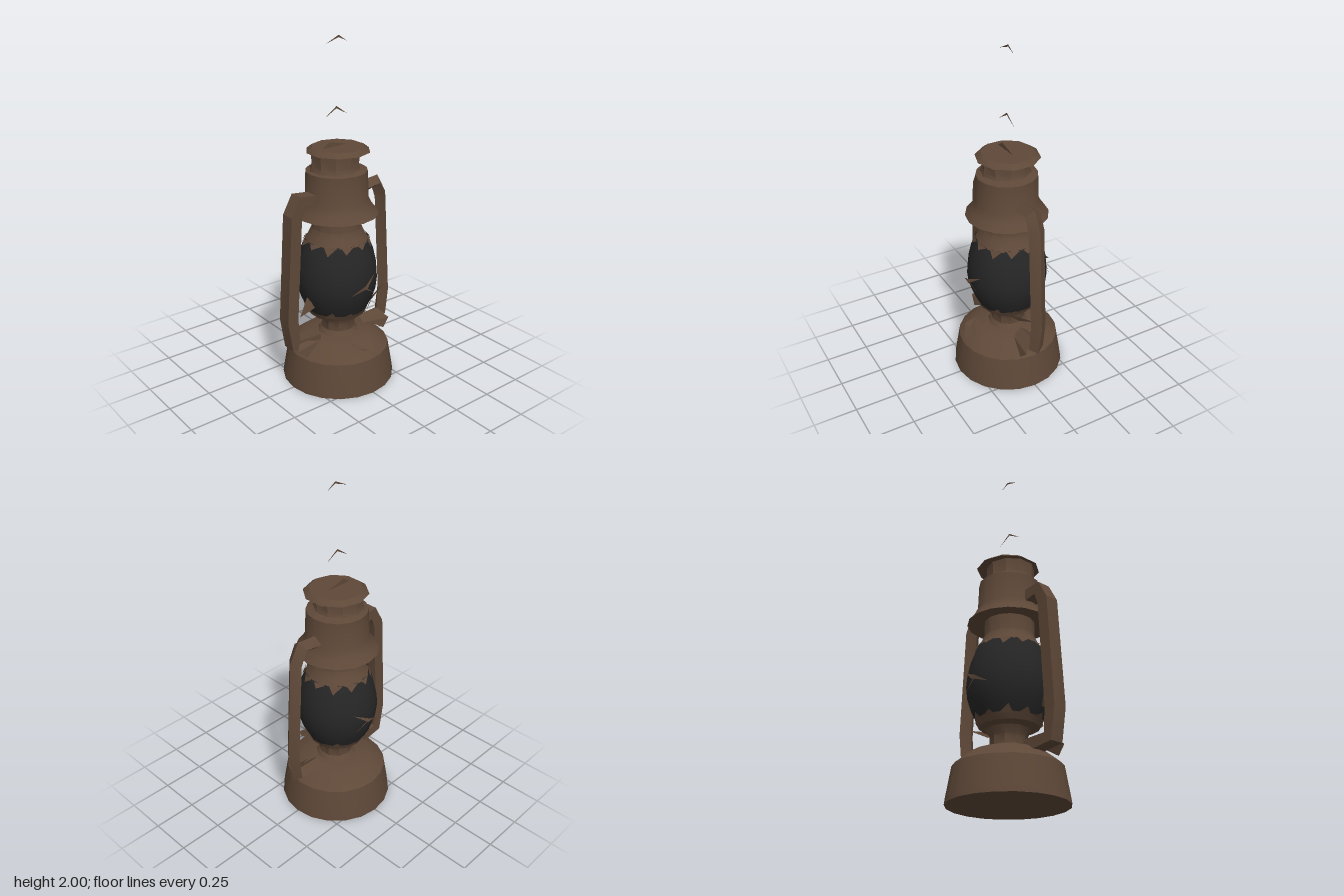
import * as THREE from 'three';
import { toCreasedNormals } from 'three/addons/utils/BufferGeometryUtils.js';

const V = (x, y, z) => new THREE.Vector3(x, y, z);

export function createModel() {
  const group = new THREE.Group();
  const rust = new THREE.MeshStandardMaterial({ color: 0x5e4838, side: THREE.DoubleSide });
  rust.name = 'rustyBrown';
  const soot = new THREE.MeshStandardMaterial({ color: 0x262626, side: THREE.DoubleSide });
  soot.name = 'sootBlack';

  const add = (name, geometry, material = rust) => {
    const mesh = new THREE.Mesh(geometry, material);
    mesh.name = name;
    group.add(mesh);
    return mesh;
  };
  const lathe = (name, points, sides, material, crease = 0.6) => {
    const g = new THREE.LatheGeometry(points.map(p => new THREE.Vector2(...p)), sides);
    return add(name, toCreasedNormals(g, crease), material);
  };
  // Fan of triangles through a few corners, for torn sheet and wire
  const scrap = (name, corners) => {
    const flat = [];
    for (let i = 1; i < corners.length - 1; i++) flat.push(...corners[0], ...corners[i], ...corners[i + 1]);
    const g = new THREE.BufferGeometry();
    g.setAttribute('position', new THREE.Float32BufferAttribute(flat, 3));
    g.computeVertexNormals();
    return add(name, g);
  };

  // Fuel tank and burner
  lathe('fuelTank', [[0, 0], [0.33, 0], [0.326, 0.03], [0.297, 0.2], [0.2, 0.275], [0.1, 0.285], [0, 0.285]], 20);
  lathe('burnerNeck', [[0.13, 0.27], [0.1, 0.31], [0.1, 0.36], [0.125, 0.405]], 10);
  lathe('globeSeat', [[0, 0.4], [0.13, 0.405], [0.165, 0.415], [0.185, 0.45]], 14).position.x = -0.01;

  // Sooty globe
  lathe('globe', [[0.172, 0.435], [0.205, 0.5], [0.228, 0.57], [0.236, 0.64], [0.23, 0.71],
    [0.212, 0.79], [0.18, 0.87]], 18, soot, 1.2).position.x = -0.01;

  // Ragged rust teeth along the globe edges
  for (let i = 0; i < 12; i++) {
    const a = i / 12 * Math.PI * 2 + 0.2;
    const at = (r, y, da) => [r * Math.sin(a + da) - 0.01, y, r * Math.cos(a + da)];
    const h = 0.015 + 0.02 * ((i * 5) % 3) / 2;
    scrap('seatTooth', [at(0.188, 0.44, -0.2), at(0.188, 0.44, 0.2), at(0.205, 0.45 + h, 0.07)]);
    scrap('collarTooth', [at(0.186, 0.872, -0.2), at(0.186, 0.872, 0.2), at(0.202, 0.86 - h, -0.07)]);
  }

  // Chimney, hood and cap
  lathe('chimney', [[0.184, 0.865], [0.16, 0.9], [0.142, 0.94], [0.142, 1.03]], 14).position.x = -0.01;
  lathe('hood', [[0.13, 1.03], [0.238, 1.02], [0.205, 1.06], [0.18, 1.11], [0.174, 1.27], [0.13, 1.285]],
    16).position.x = -0.01;
  lathe('hoodNeck', [[0.15, 1.27], [0.135, 1.3], [0.14, 1.39]], 10).position.x = -0.02;
  lathe('cap', [[0.13, 1.375], [0.182, 1.378], [0.15, 1.402], [0, 1.402]], 10);

  // Side air tubes, four-sided and swept along mitred corners
  const path = [[0.14, 1.125], [0.27, 1.145], [0.312, 1.06], [0.35, 0.45], [0.33, 0.29], [0.16, 0.275]]
    .map(p => V(p[0], p[1], 0));
  const sideTube = (name, side, turn) => {
    const position = [], index = [];
    path.forEach((p, i) => {
      const before = p.clone().sub(path[Math.max(i - 1, 0)]).normalize();
      const after = path[Math.min(i + 1, path.length - 1)].clone().sub(p).normalize();
      const t = before.add(after).normalize();
      for (let k = 0; k < 4; k++) {
        const a = turn + k * Math.PI / 2;
        const r = turn ? 0.058 : 0.048;
        const u = Math.cos(a) * r * 0.85;
        position.push(side * (p.x - t.y * u), p.y + t.x * u, Math.sin(a) * r);
        if (i) {
          const c = i * 4 + k, d = i * 4 + (k + 1) % 4;
          const quad = [c - 4, c, d - 4, d - 4, c, d];
          index.push(...(side > 0 ? quad : quad.reverse()));
        }
      }
    });
    const g = new THREE.BufferGeometry();
    g.setAttribute('position', new THREE.Float32BufferAttribute(position, 3));
    g.setIndex(index);
    add(name, toCreasedNormals(g, 0.4));
  };
  sideTube('leftAirTube', 1, 0);
  sideTube('rightAirTube', -1, Math.PI / 4);

  // Bent tube feet and filler plate on the tank
  for (const s of [-1, 1]) {
    scrap('tubeFoot', [[s * 0.18, 0.285, 0.06], [s * 0.29, 0.22, 0.08], [s * 0.34, 0.27, 0.07], [s * 0.3, 0.31, 0.03]]);
  }
  scrap('fillerPlate', [[-0.08, 0.3, 0.18], [-0.08, 0.285, 0.25], [0.015, 0.262, 0.305], [0.06, 0.285, 0.25], [0.06, 0.305, 0.17]]);
  scrap('fillerLip', [[-0.08, 0.285, 0.25], [0.015, 0.262, 0.305], [0.06, 0.285, 0.25], [0, 0.24, 0.26]]);

  // Broken globe guard wire
  scrap('guardWire', [[0.1, 0.43, 0.1], [0.35, 0.49, 0.02], [0.22, 0.425, 0.05]]);
  scrap('guardWire', [[-0.31, 0.47, 0.05], [-0.245, 0.57, 0.03], [-0.2, 0.5, 0.05]]);
  for (const s of [-1, 1]) {
    scrap('guardCrossing', [[-0.1, 0.6, s * 0.235], [-0.01, 0.655, s * 0.262], [0.005, 0.635, s * 0.262]]);
    scrap('guardCrossing', [[0.09, 0.7, s * 0.225], [-0.02, 0.645, s * 0.262], [0, 0.63, s * 0.262]]);
    scrap('guardCrossing', [[0.08, 0.58, s * 0.235], [-0.015, 0.65, s * 0.255], [-0.02, 0.638, s * 0.255]]);
  }

  // Remnants of the wire carrying handle
  const chevron = (left, peak, right, thick) => {
    const shape = new THREE.Shape([left, peak, right, [peak[0], peak[1] - thick]].map(p => new THREE.Vector2(...p)));
    add('handleRemnant', new THREE.ShapeGeometry(shape));
  };
  chevron([-0.095, 1.565], [-0.01, 1.625], [0.07, 1.57], 0.012);
  chevron([-0.08, 1.96], [0.005, 2], [0.06, 1.965], 0.012);
  chevron([-0.11, 1.4], [-0.06, 1.432], [0.06, 1.405], 0.03);

  return group;
}
